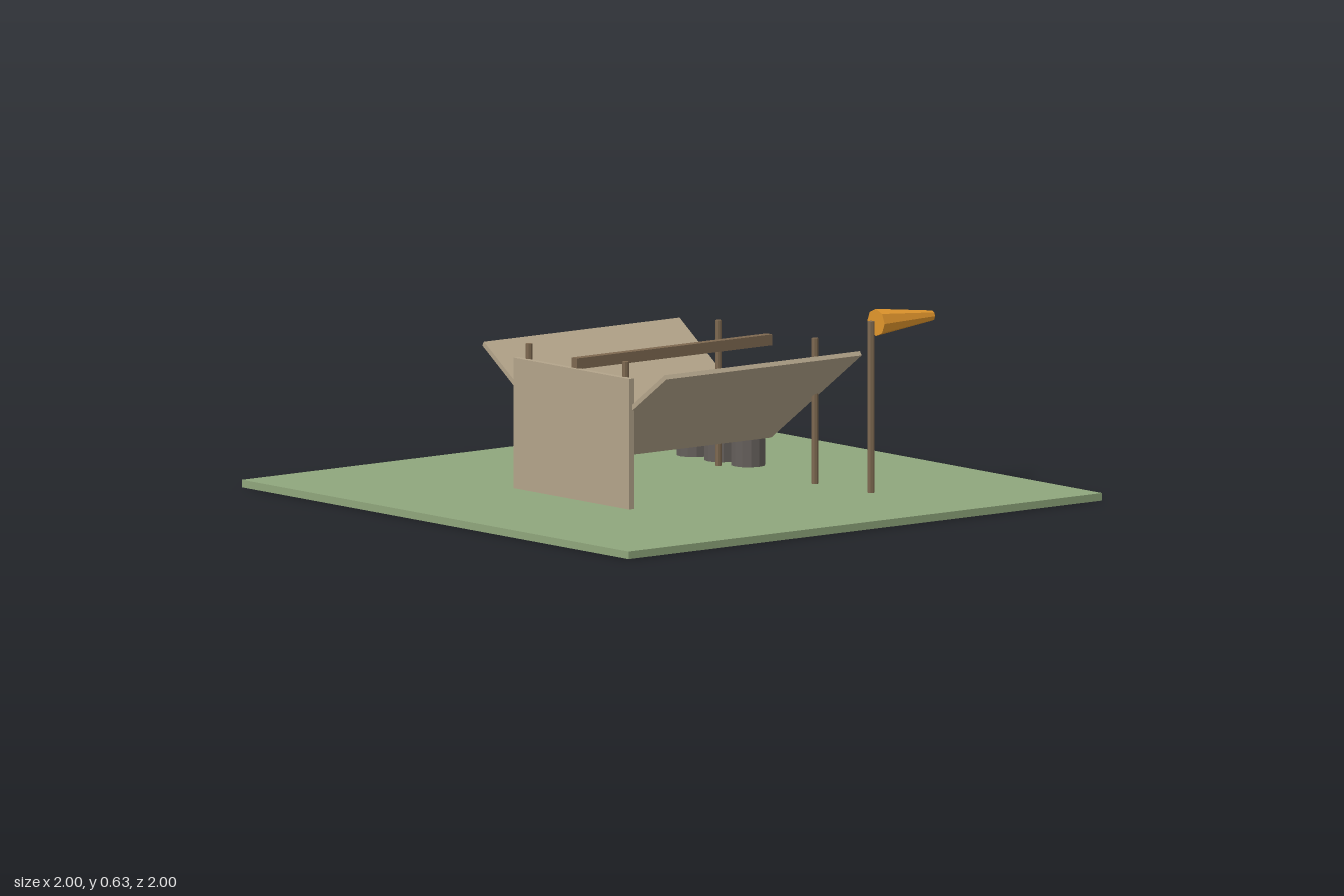
import * as THREE from 'three';

const mat = (color) => new THREE.MeshStandardMaterial({ color, flatShading: true });

export function createModel() {
  const model = new THREE.Group();
  const grass = mat(0x8fa67c), canvas = mat(0xb3a48a), wood = mat(0x7d6850);
  const steel = mat(0x655f5b), orange = mat(0xe0952c);
  const floor = 0.025;

  const add = (name, geometry, material, x, y, z) => {
    const mesh = new THREE.Mesh(geometry, material);
    mesh.name = name;
    mesh.position.set(x, y, z);
    model.add(mesh);
    return mesh;
  };
  // Upright cylinder standing on the ground slab
  const upright = (name, r, top, sides, material, x, z) =>
    add(name, new THREE.CylinderGeometry(r, r, top - floor, sides), material, x, (top + floor) / 2, z);

  add('ground', new THREE.BoxGeometry(2, floor, 2), grass, 0, floor / 2, 0);

  // Shelter: V-shaped roof panels, ridge beam, front wall and four posts
  for (const side of [-1, 1]) {
    const panel = add('roofPanel', new THREE.BoxGeometry(0.571, 0.016, 0.825), canvas, side * 0.238, 0.318, 0);
    panel.rotation.z = side * THREE.MathUtils.degToRad(35);
    for (const z of [-0.4, 0.4]) upright('post', 0.011, 0.507, 8, wood, side * 0.25, z);
  }
  add('ridgeBeam', new THREE.BoxGeometry(0.03, 0.036, 0.825), wood, 0, 0.472, 0);
  add('frontWall', new THREE.BoxGeometry(0.597, 0.432, 0.021), canvas, 0, floor + 0.216, 0.415);

  // Row of drums behind the shelter
  for (let i = 0; i < 3; i++) upright('drum', 0.056, 0.178, 12, steel, -0.485 + i * 0.142, -0.487);

  // Windsock: wide mouth near the pole, tapering to the back
  upright('windsockPole', 0.012, 0.592, 8, wood, 0.515, -0.42);
  const sock = add('windsock', new THREE.CylinderGeometry(0.045, 0.017, 0.236, 8), orange, 0.515, 0.586, -0.559);
  sock.rotation.x = Math.PI / 2;

  return model;
}
